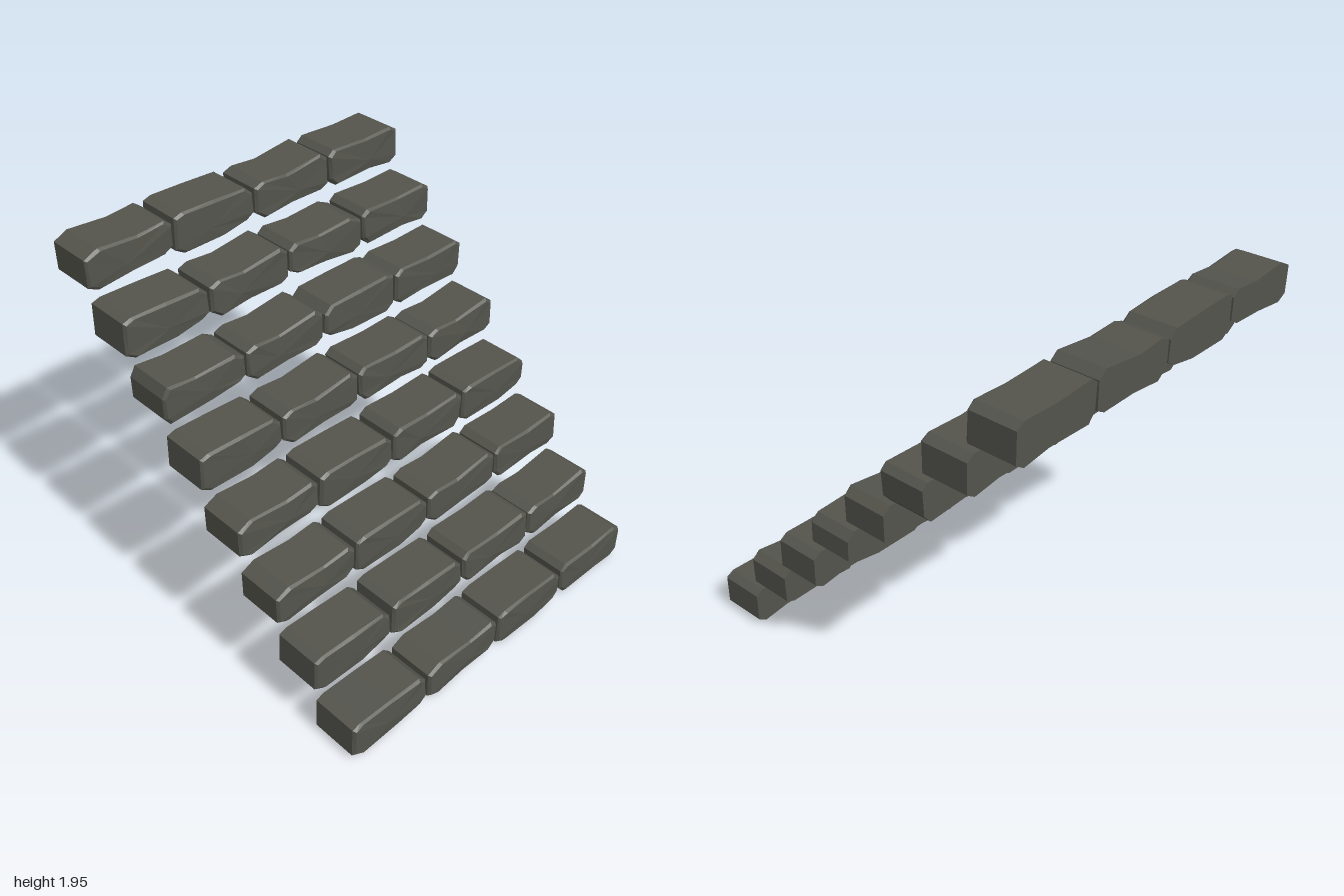
import * as THREE from 'three';

// Stone outlines, clockwise from the upper left, about the stone's centre
const OUTLINES = {
  A: [[-.24, .065], [-.165, .1], [.05, .085], [.205, .1], [.243, .07], [.243, -.045], [.19, -.075], [0, -.085], [-.185, -.108], [-.24, -.08]],
  B: [[-.243, .07], [-.19, .09], [-.04, .078], [.195, .11], [.24, .075], [.24, -.065], [.195, -.09], [0, -.09], [-.185, -.11], [-.243, -.065]],
  C: [[-.245, .075], [-.21, .103], [.01, .093], [.2, .102], [.243, .075], [.246, -.075], [.2, -.105], [.05, -.088], [-.2, -.1], [-.238, -.055]],
  D: [[-.236, .09], [-.19, .105], [0, .102], [.195, .095], [.237, .055], [.242, -.05], [.2, -.08], [.05, -.108], [-.19, -.112], [-.242, -.08]],
  E: [[-.235, .05], [-.205, .102], [-.05, .085], [.185, .094], [.24, .062], [.243, -.045], [.205, -.065], [.04, -.09], [-.205, -.105], [-.235, -.065]],
};

// Lowest row first; a lower-case letter is the mirrored outline
const ROWS = ['DADC', 'DDCB', 'ADBC', 'ADcD', 'DBCB', 'EBdc', 'DBaC', 'ADBC'];

const DEPTH = 0.258;

// Straight prism with a flat back, bevelled front rim and faceted, slightly uneven face
function stoneGeometry(letter, seed) {
  const key = letter.toUpperCase();
  const outline = letter === key
    ? [...OUTLINES[key]].reverse()
    : OUTLINES[key].map(([x, y]) => [-x, y]);
  const n = outline.length;
  const back = outline.map(([x, y]) => [x, y, -DEPTH / 2]);
  const rim = outline.map(([x, y]) => [x, y, DEPTH / 2 - 0.016]);
  const face = outline.map(([x, y], i) =>
    [x * 0.95, y * 0.89, DEPTH / 2 - 0.003 + 0.003 * Math.sin(i * 2.3 + seed)]);
  const peak = [0.06 * Math.sin(seed * 1.7), -0.03, DEPTH / 2 + 0.002];
  const heel = [0, 0, -DEPTH / 2];

  const pos = [];
  const tri = (a, b, c) => pos.push(...a, ...b, ...c);
  const quad = (a, b, c, d) => { tri(a, b, c); tri(a, c, d); };
  for (let i = 0; i < n; i++) {
    const j = (i + 1) % n;
    quad(back[i], back[j], rim[j], rim[i]);
    quad(rim[i], rim[j], face[j], face[i]);
    tri(face[i], face[j], peak);
    tri(back[j], back[i], heel);
  }
  const geometry = new THREE.BufferGeometry();
  geometry.setAttribute('position', new THREE.Float32BufferAttribute(pos, 3));
  geometry.computeVertexNormals();
  return geometry;
}

export function createModel() {
  const model = new THREE.Group();
  model.name = 'stoneStairs';
  const stone = new THREE.MeshStandardMaterial({ color: 0x54544d, flatShading: true });
  stone.name = 'darkGreyStone';

  // Eight steps climbing towards the back, four stones in each
  ROWS.forEach((letters, row) => {
    const step = new THREE.Group();
    step.name = `step${row + 1}`;
    step.position.set(0, 0.118 + row * 0.2465, 0.867 - row * 0.2475);
    [...letters].forEach((letter, col) => {
      const mesh = new THREE.Mesh(stoneGeometry(letter, row * 4 + col), stone);
      mesh.name = `stone${col + 1}`;
      mesh.position.x = -0.744 + col * 0.496;
      step.add(mesh);
    });
    model.add(step);
  });
  return model;
}
